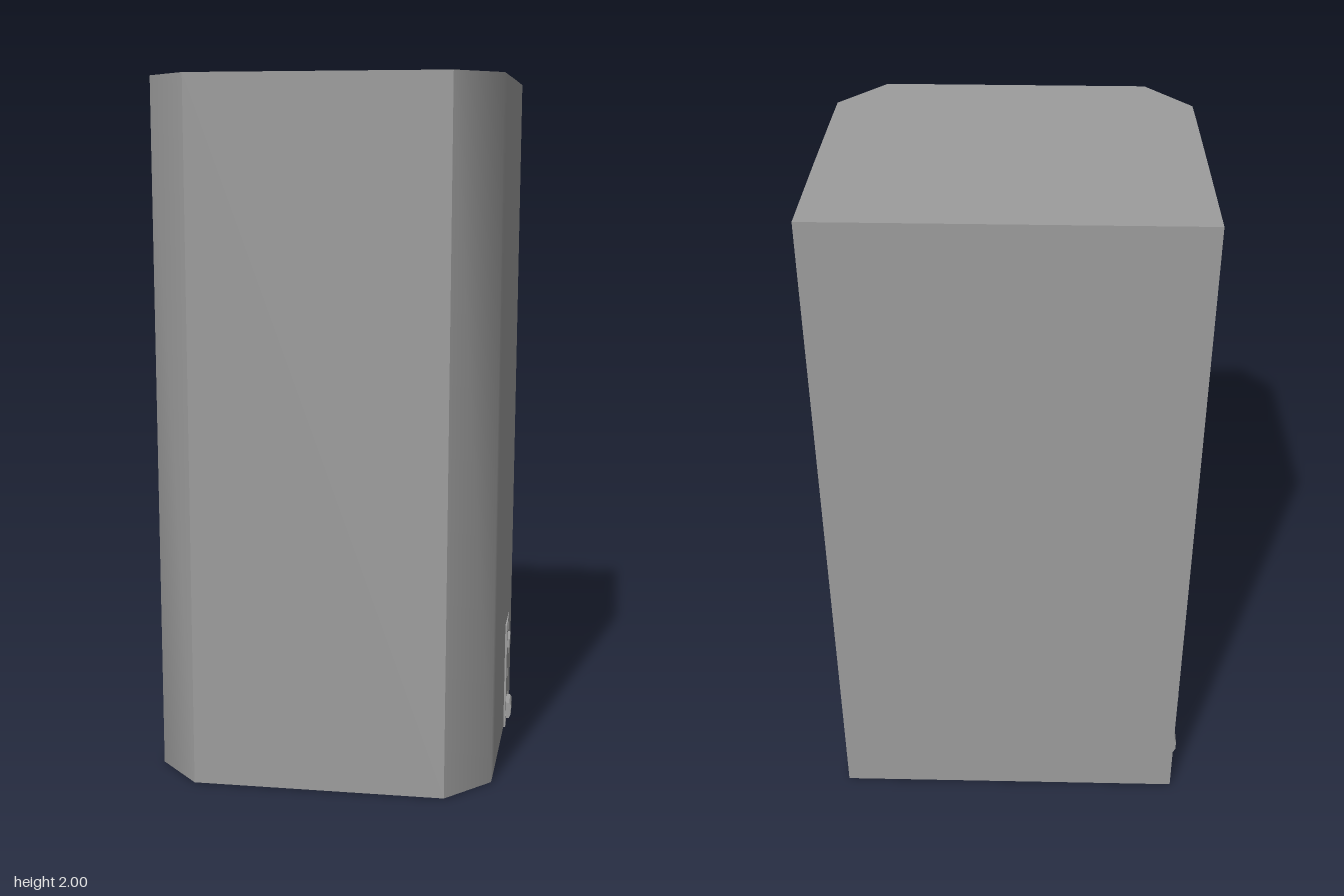
import * as THREE from 'three';
import { toCreasedNormals } from 'three/addons/utils/BufferGeometryUtils.js';

export function createModel() {
  const model = new THREE.Group();
  model.name = 'cabinet';
  const material = new THREE.MeshStandardMaterial({ color: 0x9d9d9d });

  function add(parent, name, geometry) {
    const mesh = new THREE.Mesh(geometry, material);
    mesh.name = name;
    parent.add(mesh);
  }

  // Box given by its limits on each axis
  function box(parent, name, [x0, x1], [y0, y1], [z0, z1]) {
    const geometry = new THREE.BoxGeometry(Math.abs(x1 - x0), y1 - y0, z1 - z0);
    geometry.translate((x0 + x1) / 2, (y0 + y1) / 2, (z0 + z1) / 2);
    add(parent, name, geometry);
  }

  // Tapered body with bevelled front corners; footprint as (x, z), drawn with y = -z
  const footprint = [
    [-0.355, 0.406], [0.365, 0.406], [0.491, 0.275], [0.495, 0.19], [0.507, -0.1],
    [0.518, -0.408], [-0.506, -0.408], [-0.495, -0.1], [-0.484, 0.19], [-0.48, 0.275],
  ];
  const shape = new THREE.Shape(footprint.map(([x, z]) => new THREE.Vector2(x, -z)));
  const body = new THREE.ExtrudeGeometry(shape, { depth: 1.998, bevelEnabled: false });
  body.rotateX(-Math.PI / 2).translate(0, 0.002, 0);
  // The bevels blend into the sides but stay sharp against the front
  add(model, 'body', toCreasedNormals(body, THREE.MathUtils.degToRad(44.5)));

  // Slim upright seam on the -x side
  box(model, 'sideSeam', [-0.49, -0.4975], [0.002, 1.995], [-0.142, -0.125]);

  // Latch near the floor on each side: framed recess, upper tab, lower hook
  for (const [side, face, tab, hook] of [[1, 0.515, 0.522, 0.53], [-1, 0.517, 0.524, 0.531]]) {
    const latch = new THREE.Group();
    latch.name = side > 0 ? 'leftLatch' : 'rightLatch';
    model.add(latch);
    const span = (a, b) => [side * a, side * b];
    box(latch, 'latchPanel', span(0.38, face - 0.01), [0.002, 0.32], [-0.32, -0.165]);

    const frame = span(0.38, face);
    for (const z of [-0.328, -0.175]) box(latch, 'latchFrameSide', frame, [0, 0.335], [z, z + 0.02]);
    box(latch, 'latchFrameTop', frame, [0.312, 0.335], [-0.308, -0.175]);
    box(latch, 'latchFrameBottom', frame, [0, 0.025], [-0.308, -0.175]);
    box(latch, 'latchTab', span(face - 0.015, tab), [0.248, 0.276], [-0.28, -0.202]);

    // Hook with a sloped underside
    const profile = new THREE.Shape([
      [face - 0.015, 0.012], [hook - 0.006, 0.012], [hook, 0.025],
      [hook, 0.055], [hook - 0.005, 0.063], [face - 0.015, 0.063],
    ].map(([x, y]) => new THREE.Vector2(side * x, y)));
    const hookGeometry = new THREE.ExtrudeGeometry(profile, { depth: 0.078, bevelEnabled: false });
    hookGeometry.translate(0, 0, -0.28);
    add(latch, 'latchHook', hookGeometry);
  }

  return model;
}
